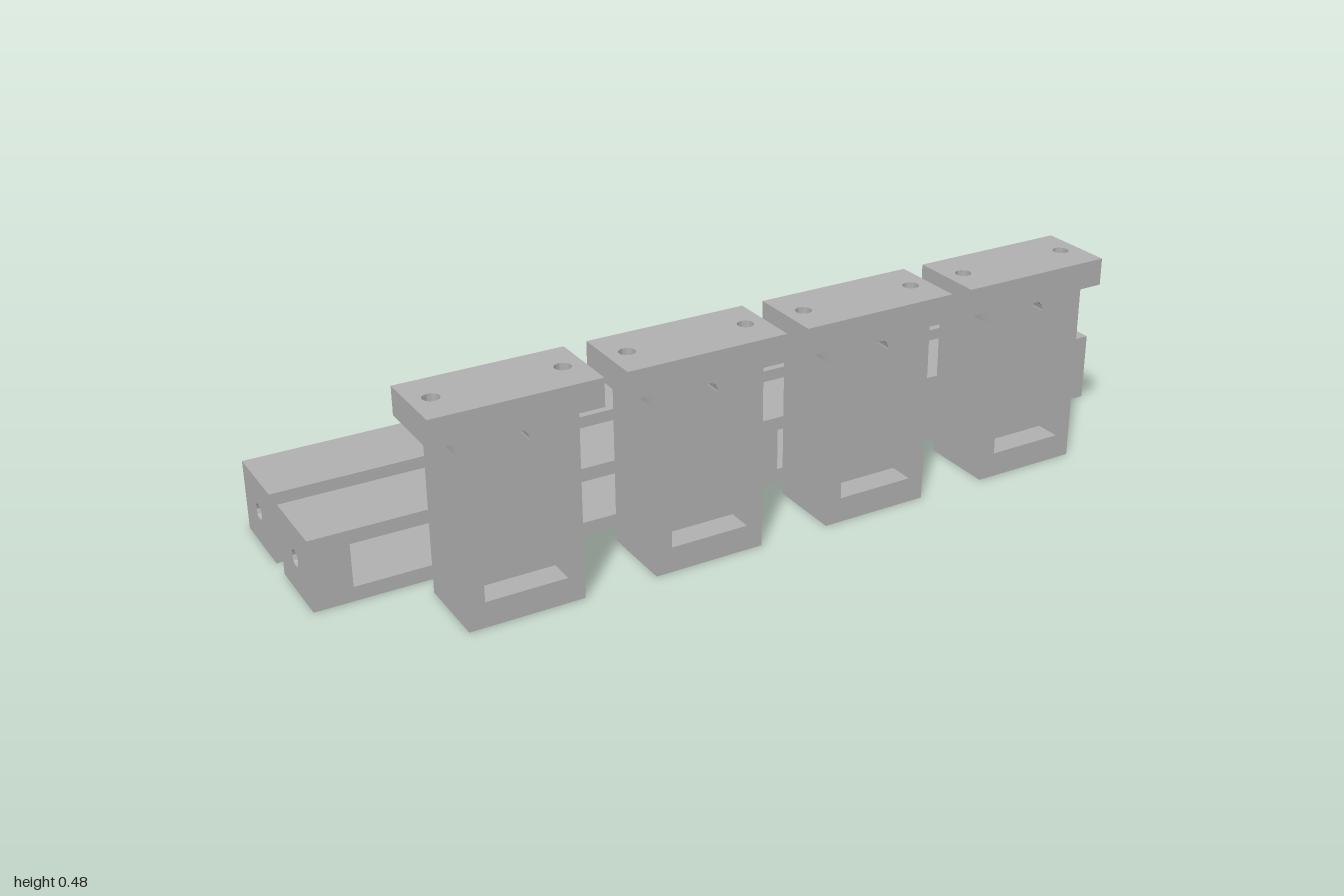
import * as THREE from 'three';
import { toCreasedNormals } from 'three/addons/utils/BufferGeometryUtils.js';

const DEPTH = 0.177; // shared depth of beams and posts
const grey = new THREE.MeshStandardMaterial({ color: 0xb0b0b0 });
grey.name = 'grey';

const polygon = (pts) => new THREE.Shape(pts.map(([x, y]) => new THREE.Vector2(x, y)));

function addHole(shape, x, y, r) {
  const hole = new THREE.Path();
  hole.absarc(x, y, r, 0, Math.PI * 2, true);
  shape.holes.push(hole);
}

// Extrusion centred on z
function extrude(shape, depth) {
  const g = new THREE.ExtrudeGeometry(shape, { depth, bevelEnabled: false, curveSegments: 24 });
  return toCreasedNormals(g.translate(0, 0, -depth / 2), 0.6);
}

function part(name, geometry, x = 0, y = 0, z = 0) {
  const mesh = new THREE.Mesh(geometry, grey);
  mesh.name = name;
  mesh.position.set(x, y, z);
  return mesh;
}

// Beam with two windows and a drilled block at each end
const HALF = 0.4945, INNER = 0.4075, MID = 0.0465, H = 0.163, LOW = 0.033, HIGH = 0.132;

function beam() {
  const group = new THREE.Group();
  group.name = 'beam';
  const rails = polygon([
    [-INNER, 0], [INNER, 0], [INNER, LOW], [MID, LOW], [MID, HIGH], [INNER, HIGH], [INNER, H],
    [-INNER, H], [-INNER, HIGH], [-MID, HIGH], [-MID, LOW], [-INNER, LOW],
  ]);
  group.add(part('beamRails', extrude(rails, DEPTH)));
  const end = polygon([[-DEPTH / 2, 0], [DEPTH / 2, 0], [DEPTH / 2, H], [-DEPTH / 2, H]]);
  addHole(end, 0, H / 2, 0.018);
  const endGeo = extrude(end, HALF - INNER).rotateY(Math.PI / 2);
  for (const s of [-1, 1]) group.add(part('beamEnd', endGeo, s * (HALF + INNER) / 2));
  return group;
}

// Post with recessed web, cross hole and drilled cap
const BODY = 0.128, POCKET = 0.091, SILL = 0.058, TOP = 0.385, NECK = 0.415, CAP = 0.478;
const HOLE_Y = 0.39, HOLE_R = 0.02, BOLT_X = 0.139, BOLT_R = 0.018;

function post() {
  const group = new THREE.Group();
  group.name = 'post';

  // U-shaped frame around the pocket
  const frame = polygon([
    [-BODY, 0], [BODY, 0], [BODY, TOP], [POCKET, TOP], [POCKET, SILL],
    [-POCKET, SILL], [-POCKET, TOP], [-BODY, TOP],
  ]);
  group.add(part('postFrame', extrude(frame, DEPTH)));

  // Thin web in the middle, notched by the lower part of the cross hole
  const a = Math.asin((HOLE_Y - TOP) / HOLE_R);
  const web = polygon([[-POCKET, TOP], [-POCKET, SILL], [POCKET, SILL], [POCKET, TOP]]);
  web.absarc(0, HOLE_Y, HOLE_R, -a, -Math.PI + a, true);
  group.add(part('web', extrude(web, 0.059)));

  // Lintel over the pocket, notched by the rest of the hole
  const lintel = polygon([[POCKET, TOP], [POCKET, NECK], [-POCKET, NECK], [-POCKET, TOP]]);
  lintel.absarc(0, HOLE_Y, HOLE_R, Math.PI + a, -a, true);
  group.add(part('lintel', extrude(lintel, DEPTH)));

  // Neck sides, grooved by the bolt holes
  const b = Math.acos((BOLT_X - BODY) / BOLT_R), d = DEPTH / 2;
  const neck = polygon([[POCKET, d], [POCKET, -d], [BODY, -d]]);
  neck.absarc(BOLT_X, 0, BOLT_R, Math.PI + b, Math.PI - b, true);
  neck.lineTo(BODY, d);
  const neckGeo = extrude(neck, NECK - TOP).rotateX(-Math.PI / 2);
  for (const turn of [0, Math.PI]) {
    const side = part('neckSide', neckGeo, 0, (NECK + TOP) / 2);
    side.rotation.y = turn;
    group.add(side);
  }

  // Cap plate with two bolt holes
  const w = 0.185;
  const cap = polygon([[-w, -d], [w, -d], [w, d], [-w, d]]);
  for (const s of [-1, 1]) addHole(cap, s * BOLT_X, 0, BOLT_R);
  group.add(part('cap', extrude(cap, CAP - NECK).rotateX(-Math.PI / 2), 0, (CAP + NECK) / 2));
  return group;
}

export function createModel() {
  const model = new THREE.Group();
  model.name = 'beamsAndPosts';

  // Two rows of two beams
  for (const z of [0, -0.228]) {
    for (const s of [-1, 1]) {
      const b = beam();
      b.position.set(s * (1 - HALF), 0, z);
      model.add(b);
    }
  }

  // Row of four posts in front
  for (let i = 0; i < 4; i++) {
    const p = post();
    p.position.set(-0.003 + (i - 1.5) * 0.421, 0, 0.228);
    model.add(p);
  }
  return model;
}
